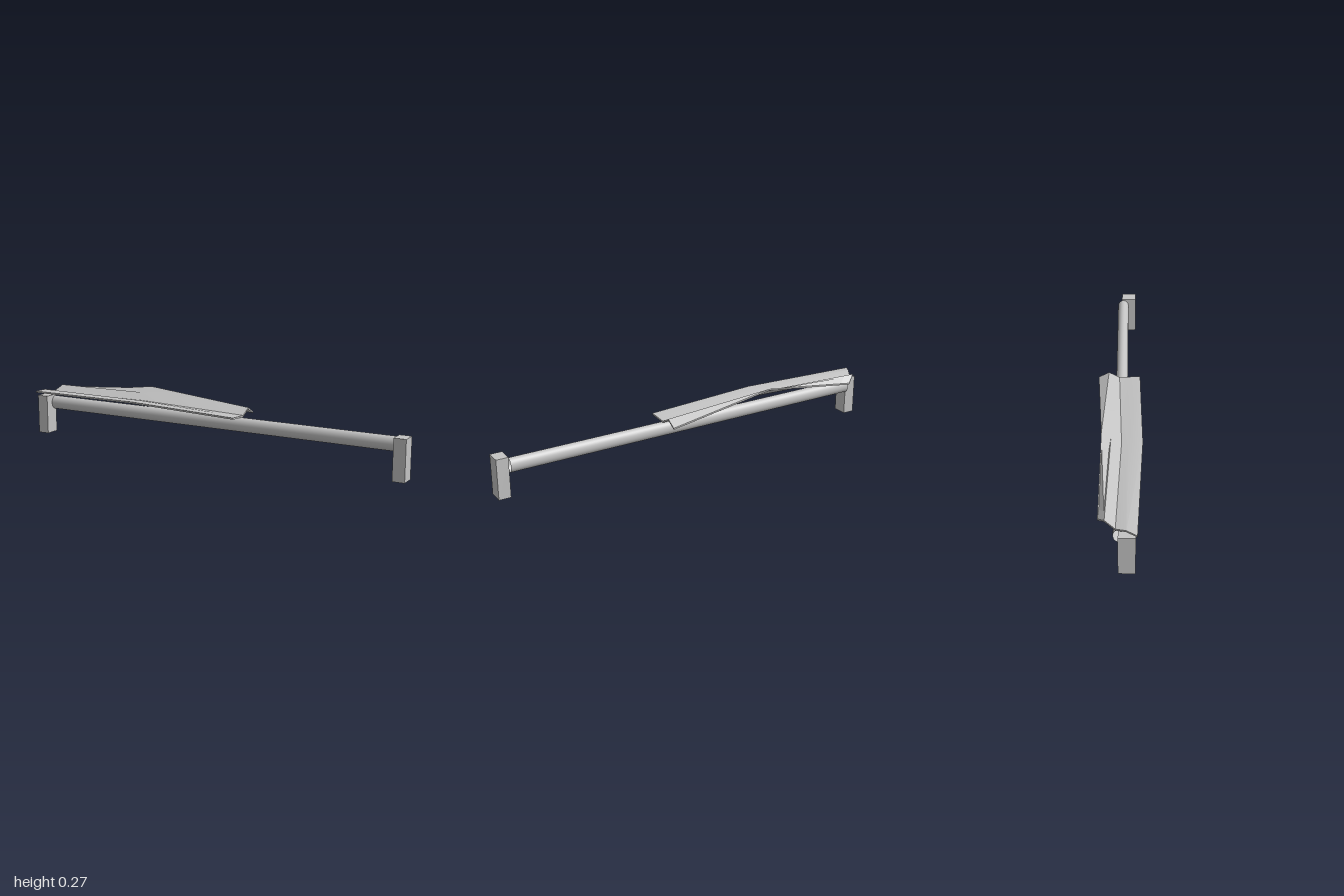
import * as THREE from 'three';
import { toCreasedNormals } from 'three/addons/utils/BufferGeometryUtils.js';

// Thin solid cloth lofted through cross-sections that run front to back
function clothGeometry(sections, thickness) {
  const pos = [], idx = [];
  const n = sections[0].length * 2;
  for (const s of sections) {
    for (const [x, y, z] of s) pos.push(x, y, z);
    for (const [x, y, z] of [...s].reverse()) pos.push(x, y - thickness, z);
  }
  for (let i = 0; i < sections.length - 1; i++) {
    for (let j = 0; j < n; j++) {
      const k = (j + 1) % n;
      const a = i * n + j, b = a + n, c = i * n + k, d = c + n;
      idx.push(a, b, c, b, d, c);
    }
  }
  // end strips
  const last = (sections.length - 1) * n;
  for (let j = 0; j < n / 2 - 1; j++) {
    const a = j, b = j + 1, c = n - 2 - j, d = n - 1 - j;
    idx.push(a, b, c, a, c, d);
    idx.push(last + a, last + c, last + b, last + a, last + d, last + c);
  }
  const g = new THREE.BufferGeometry();
  g.setAttribute('position', new THREE.Float32BufferAttribute(pos, 3));
  g.setIndex(idx);
  return toCreasedNormals(g, 0.4);
}

export function createModel() {
  const group = new THREE.Group();
  const grey = new THREE.MeshStandardMaterial({ color: 0xc4c4c4, side: THREE.DoubleSide });
  grey.name = 'grey';

  const add = (name, geometry) => {
    const mesh = new THREE.Mesh(geometry, grey);
    mesh.name = name;
    group.add(mesh);
    return mesh;
  };

  // End posts
  for (const [name, x] of [['rightPost', -0.962], ['leftPost', 0.97]]) {
    add(name, new THREE.BoxGeometry(0.058, 0.195, 0.073)).position.set(x, 0.0975, 0.037);
  }

  // Open-ended rail between the posts
  const rail = new THREE.CylinderGeometry(1, 1, 1.872, 32, 1, true);
  rail.rotateZ(Math.PI / 2).scale(1, 0.034, 0.028);
  add('rail', rail).position.set(0.004, 0.154, 0.007);

  // Draped cloth: slanted right end, raised middle, folded left end
  const sections = [
    [[-1, 0.217, 0.08], [-0.975, 0.222, 0.035], [-0.95, 0.208, -0.01], [-0.93, 0.236, -0.055], [-0.885, 0.205, -0.085]],
    [[-0.39, 0.225, 0.105], [-0.39, 0.222, 0.04], [-0.39, 0.216, 0.01], [-0.39, 0.246, -0.037], [-0.39, 0.272, -0.08]],
    [[0.168, 0.203, 0.095], [0.168, 0.2, 0.04], [0.168, 0.197, -0.005], [0.168, 0.226, -0.056], [0.168, 0.198, -0.106]],
  ];
  add('cloth', clothGeometry(sections, 0.008));

  return group;
}
